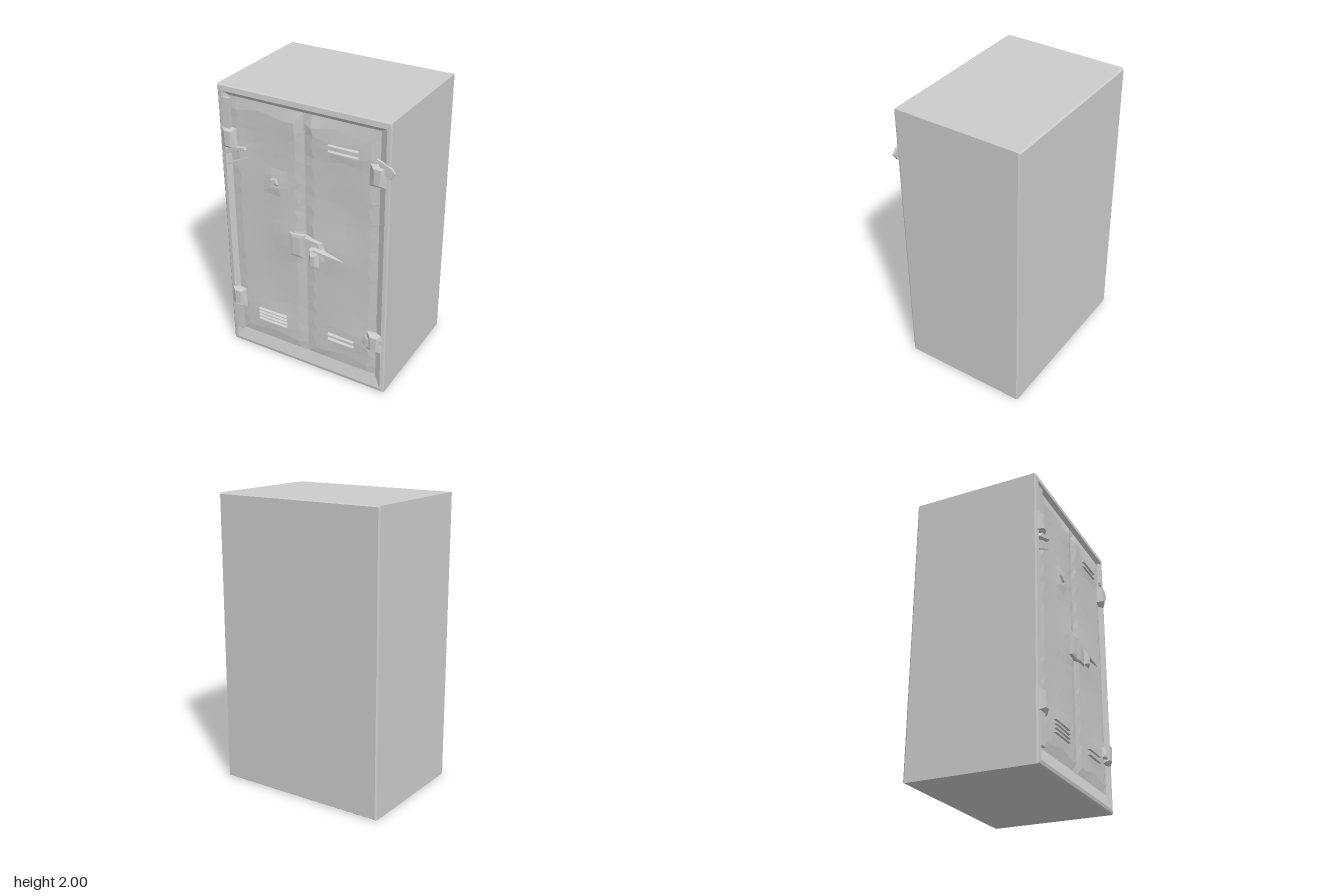
import * as THREE from 'three';

const material = new THREE.MeshStandardMaterial({ color: 0xcccccc, flatShading: true });

function add(group, name, geometry) {
  const mesh = new THREE.Mesh(geometry, material);
  mesh.name = name;
  group.add(mesh);
  return mesh;
}

// Joins closed rings of [x, y, z] points, ordered back to front and
// counter-clockwise as seen from +z, and caps both ends.
function loft(rings) {
  const n = rings[0].length;
  const index = [];
  for (let r = 0; r < rings.length - 1; r++) {
    for (let i = 0; i < n; i++) {
      const j = (i + 1) % n;
      const a = r * n + i, b = r * n + j, c = a + n, d = b + n;
      index.push(a, b, d, a, d, c);
    }
  }
  const last = (rings.length - 1) * n;
  for (let i = 1; i < n - 1; i++) {
    index.push(0, i + 1, i);
    index.push(last, last + i, last + i + 1);
  }
  const geometry = new THREE.BufferGeometry();
  geometry.setAttribute('position', new THREE.Float32BufferAttribute(rings.flat(2), 3));
  geometry.setIndex(index);
  const flat = geometry.toNonIndexed();
  flat.computeVertexNormals();
  return flat;
}

const rect = (x0, x1, y0, y1, z) => [[x0, y0, z], [x1, y0, z], [x1, y1, z], [x0, y1, z]];
const outline = (points, z) => points.map(([x, y]) => [x, y, z]);

// A raised plate whose front outline may differ from its foot.
const plate = (foot, top, z) => loft([outline(foot, 0.39), outline(top, z)]);

// Soft dents and ridges pressed into the doors: x, y, width, height, depth.
const dents = [
  [0, 1.84, 0.16, 0.1, 0.012], [-0.22, 1.4, 0.06, 0.07, 0.016],
  [0.3, 1.75, 0.18, 0.07, 0.012], [-0.42, 1.72, 0.1, 0.15, -0.006],
  [-0.1, 1.0, 0.14, 0.14, 0.012], [0.15, 1.0, 0.16, 0.15, 0.01],
  [-0.28, 0.32, 0.16, 0.1, 0.008], [0.36, 0.36, 0.18, 0.1, 0.01],
  [-0.3, 0.75, 0.12, 0.2, -0.005], [0.3, 1.3, 0.14, 0.25, -0.005],
];
function doorDepth(x, y) {
  let z = 0.411 + 0.002 * Math.sin(9 * x + 5 * y) * Math.cos(7 * y - 4 * x);
  for (const [cx, cy, w, h, d] of dents) {
    z += d * Math.exp(-(((x - cx) / w) ** 2) - ((y - cy) / h) ** 2);
  }
  return z;
}

function door(x0, x1) {
  const y0 = 0.12, y1 = 1.93, nx = 9, ny = 26;
  const geometry = new THREE.PlaneGeometry(1, 1, nx, ny);
  const p = geometry.attributes.position;
  for (let k = 0; k < p.count; k++) {
    const i = k % (nx + 1), j = Math.floor(k / (nx + 1));
    const edge = i === 0 || i === nx || j === 0 || j === ny;
    // Interior points wander a little so the facets look hammered.
    const shift = edge ? 0 : 0.014;
    const x = x0 + (x1 - x0) * (p.getX(k) + 0.5) + shift * Math.sin(k * 12.9);
    const y = y0 + (y1 - y0) * (p.getY(k) + 0.5) + shift * Math.sin(k * 7.3);
    p.setXYZ(k, x, y, edge ? 0.402 : doorDepth(x, y));
  }
  geometry.computeVertexNormals();
  return geometry;
}

export function createModel() {
  const cabinet = new THREE.Group();
  cabinet.name = 'cabinet';

  // Body with softened edges, front frame and shallow door recess
  add(cabinet, 'body', loft([
    rect(-0.622, 0.592, 0.008, 1.992, -0.48),
    rect(-0.632, 0.598, 0, 2, -0.468),
    rect(-0.632, 0.598, 0, 2, 0.41),
    rect(-0.622, 0.592, 0.008, 1.994, 0.42),
    rect(-0.595, 0.57, 0.03, 1.96, 0.424),
    rect(-0.555, 0.52, 0.12, 1.93, 0.397),
  ]));

  // Pair of dented doors with a narrow seam
  add(cabinet, 'rightDoor', door(-0.56, -0.006));
  add(cabinet, 'leftDoor', door(0.002, 0.525));

  // Hinges: a folded leaf around a raised knuckle
  const hinges = new THREE.Group();
  hinges.name = 'hinges';
  cabinet.add(hinges);
  for (const [x, y, side] of [[-0.56, 1.64, -1], [0.52, 1.64, 1], [-0.56, 0.4, -1], [0.52, 0.4, 1]]) {
    const leaf = [[x - 0.06, y - 0.07], [x + 0.06, y - 0.07], [x + 0.055, y + 0.075], [x - 0.055, y + 0.075]];
    const knuckle = [[x - 0.015, y - 0.045], [x + 0.02, y - 0.045], [x + 0.03, y + 0.06], [x - 0.02, y + 0.06]];
    add(hinges, 'hingeLeaf', loft([outline(leaf, 0.39), outline(leaf, 0.42), outline(knuckle, 0.45)]));
    if (side < 0) {
      // Strap running up or down the frame
      const s = y > 1 ? 1 : -1;
      const strap = rect(-0.6, -0.545, y + (s > 0 ? 0.07 : -0.28), y + (s > 0 ? 0.28 : -0.07), 0.39);
      add(hinges, 'hingeStrap', loft([strap, strap.map(([a, b]) => [a * 0.97 - 0.012, b, 0.428])]));
    }
  }

  // Bent ear on the upper left hinge and flared wing on the lower one
  const ear = [[0.55, 1.68], [0.6, 1.64], [0.632, 1.69], [0.605, 1.72], [0.51, 1.76]];
  add(hinges, 'hingeEar', loft([outline(ear, 0.415), outline(ear, 0.432)]));
  add(hinges, 'hingeWing', plate(
    [[0.39, 0.35], [0.5, 0.31], [0.595, 0.37], [0.595, 0.49], [0.39, 0.45]],
    [[0.46, 0.37], [0.51, 0.35], [0.56, 0.4], [0.57, 0.45], [0.48, 0.42]], 0.438));

  // Slanted braces below the upper right hinge
  add(cabinet, 'brace', plate(
    [[-0.625, 1.5], [-0.42, 1.58], [-0.42, 1.605], [-0.55, 1.6]],
    [[-0.61, 1.52], [-0.44, 1.588], [-0.45, 1.598], [-0.55, 1.58]], 0.432));
  add(cabinet, 'braceRib', plate(
    [[-0.6, 1.43], [-0.43, 1.52], [-0.43, 1.535], [-0.6, 1.45]],
    [[-0.6, 1.435], [-0.43, 1.525], [-0.43, 1.53], [-0.6, 1.445]], 0.42));

  // Vent louvres: sloped on top, undercut below
  const vents = new THREE.Group();
  vents.name = 'vents';
  cabinet.add(vents);
  for (const [x0, x1, y, count] of [[-0.4, -0.16, 0.265, 4], [0.16, 0.37, 0.295, 2], [0.17, 0.39, 1.72, 2]]) {
    for (let i = 0; i < count; i++) {
      const b = y + i * (count > 2 ? 0.028 : 0.04);
      add(vents, 'louvre', loft([
        rect(x0, x1, b, b + 0.026, 0.39),
        rect(x0 + 0.01, x1 - 0.005, b, b + 0.007, 0.434),
      ]));
    }
  }

  // Small knob-like dent on the right door
  add(cabinet, 'doorDent', plate(
    [[-0.3, 1.43], [-0.22, 1.35], [-0.17, 1.36], [-0.19, 1.47]],
    [[-0.24, 1.42], [-0.22, 1.4], [-0.2, 1.4], [-0.215, 1.43]], 0.432));

  // Latch: two plates meeting at the seam
  const latch = new THREE.Group();
  latch.name = 'latch';
  cabinet.add(latch);
  add(latch, 'latchPlate', loft([
    rect(-0.12, -0.004, 0.895, 1.075, 0.39),
    rect(-0.115, -0.008, 0.9, 1.07, 0.432),
    rect(-0.085, -0.035, 0.92, 1.05, 0.438),
  ]));
  add(latch, 'strikePlate', plate(
    [[0, 0.9], [0.17, 0.9], [0.22, 1.0], [0.22, 1.07], [0, 1.075]],
    [[0.004, 0.91], [0.12, 0.92], [0.13, 0.99], [0.1, 1.05], [0.004, 1.065]], 0.434));

  // Handle with a drooping grip and a tapering lever
  add(latch, 'handleGrip', loft([
    rect(0.06, 0.12, 0.94, 1.02, 0.42),
    rect(0.05, 0.125, 0.885, 1.005, 0.456),
    rect(0.07, 0.1, 0.9, 0.97, 0.48),
  ]));
  add(latch, 'handleLever', loft([
    [[0.08, 0.98, 0.42], [0.3, 0.975, 0.45], [0.3, 0.984, 0.45], [0.08, 1.02, 0.42]],
    [[0.08, 0.985, 0.462], [0.3, 0.976, 0.456], [0.3, 0.983, 0.456], [0.08, 1.01, 0.462]],
  ]));

  return cabinet;
}
